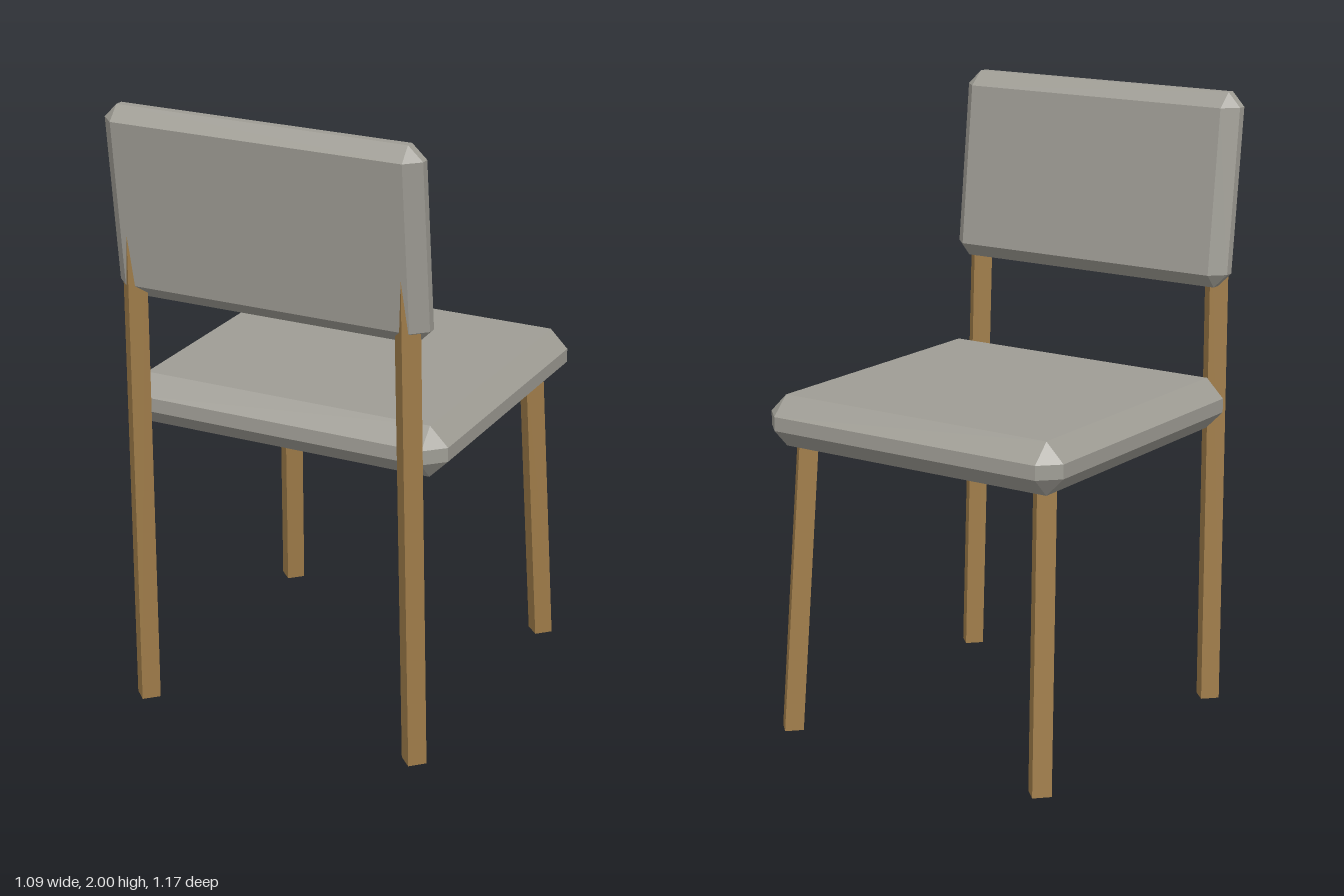
import * as THREE from 'three';
import { ConvexGeometry } from 'three/addons/geometries/ConvexGeometry.js';

const fabric = new THREE.MeshStandardMaterial({ color: 0x9f9d95 });
fabric.name = 'grey fabric';
const wood = new THREE.MeshStandardMaterial({ color: 0x9f7c49 });
wood.name = 'wood';

function addPart(group, name, geometry, material) {
  const mesh = new THREE.Mesh(geometry, material);
  mesh.name = name;
  group.add(mesh);
}

// Box with chamfered edges and corners; lean shifts z in proportion to height
function cushion(w, h, d, bevel, lean = 0) {
  const points = [];
  for (const sx of [-1, 1]) for (const sy of [-1, 1]) for (const sz of [-1, 1]) {
    for (let full = 0; full < 3; full++) {
      const p = [w / 2, h / 2, d / 2].map((v, axis) => (axis === full ? v : v - bevel));
      const y = sy * p[1];
      points.push(new THREE.Vector3(sx * p[0], y, sz * p[2] + lean * y));
    }
  }
  return new ConvexGeometry(points);
}

// Square bar set on its corner, slanting from foot to top
function leg(foot, top) {
  const r = 0.0425;
  const points = [];
  for (const c of [foot, top]) {
    for (const [dx, dz] of [[r, 0], [0, r], [-r, 0], [0, -r]]) {
      points.push(new THREE.Vector3(c[0] + dx, c[1], c[2] + dz));
    }
  }
  return new ConvexGeometry(points);
}

export function createModel() {
  const chair = new THREE.Group();
  chair.name = 'chair';

  // Seat
  const seat = cushion(1.094, 0.165, 1.045, 0.06);
  seat.translate(0, 1.0185, -0.0625);
  addPart(chair, 'seat', seat, fabric);

  // Backrest, leaning away from the seat
  const back = cushion(1.042, 0.615, 0.117, 0.045, 0.114);
  back.translate(0, 1.6925, 0.498);
  addPart(chair, 'backrest', back, fabric);

  // Legs: the tall pair carries the backrest, the short pair ends inside the seat
  for (const [side, s] of [['left', 1], ['right', -1]]) {
    addPart(chair, side + 'BackrestLeg', leg([s * 0.477, 0, 0.463], [s * 0.455, 1.68, 0.505]), wood);
    addPart(chair, side + 'SeatLeg', leg([s * 0.477, 0, -0.538], [s * 0.445, 1.0, -0.467]), wood);
  }
  return chair;
}
